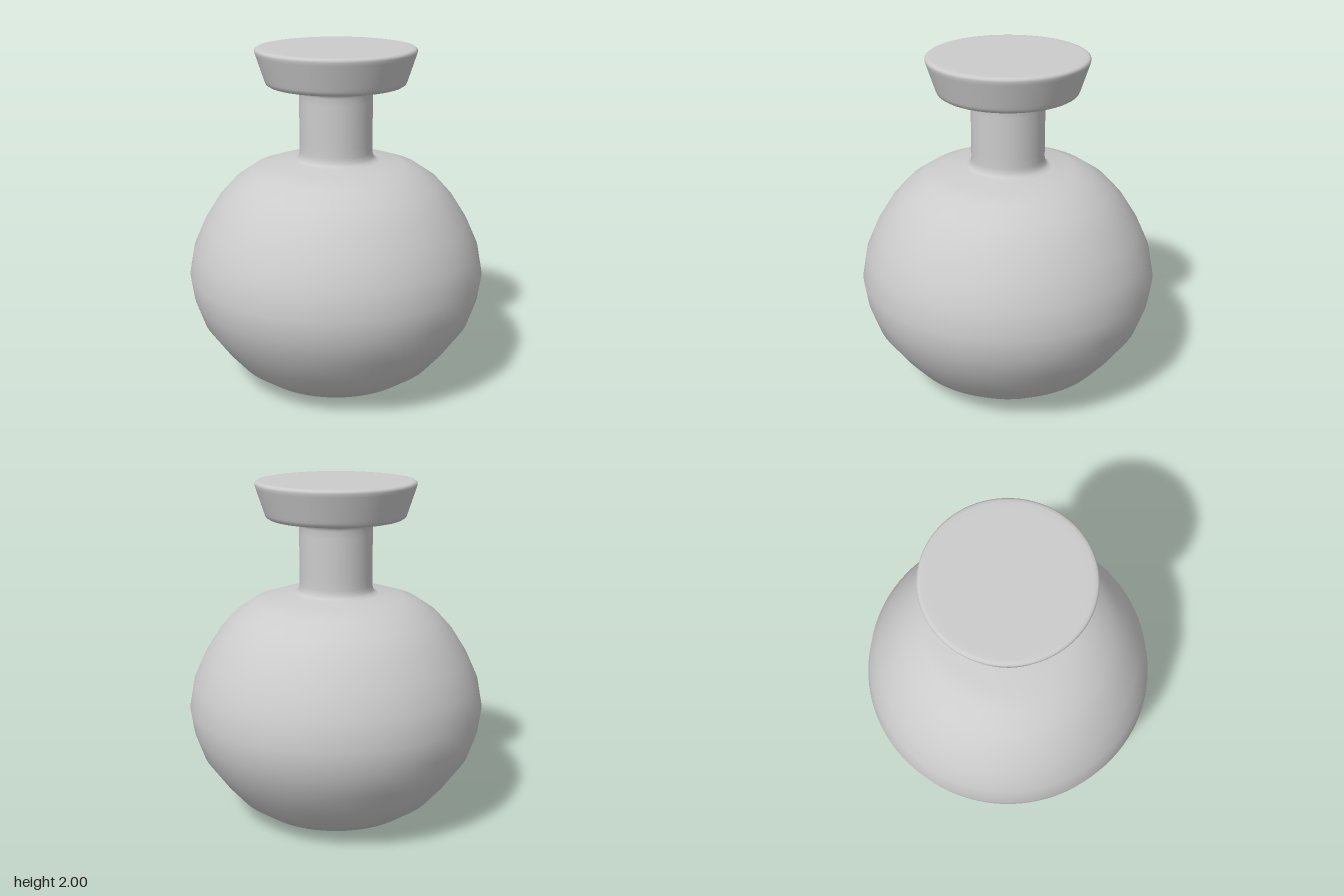
import * as THREE from 'three';

const material = new THREE.MeshStandardMaterial({ color: 0xcccccc });

// Revolve a [radius, height] profile, listed bottom to top, around the y axis
function turned(name, profile) {
  const points = profile.map(([r, y]) => new THREE.Vector2(r, y));
  const mesh = new THREE.Mesh(new THREE.LatheGeometry(points, 96), material);
  mesh.name = name;
  return mesh;
}

export function createModel() {
  const group = new THREE.Group();
  group.name = 'flask';

  // Round belly with a flattened base and shoulder
  group.add(turned('belly', [
    [0, 0], [0.15, 0.002], [0.28, 0.006], [0.385, 0.02], [0.48, 0.05], [0.6, 0.135],
    [0.69, 0.24], [0.80, 0.395], [0.85, 0.54], [0.87, 0.68], [0.84, 0.84],
    [0.775, 0.985], [0.69, 1.12], [0.6, 1.22], [0.49, 1.295], [0.385, 1.33],
    [0.25, 1.345], [0.227, 1.357], [0.216, 1.375], [0.212, 1.4], [0.212, 1.45],
  ]));

  // Straight neck
  group.add(turned('neck', [[0.212, 1.45], [0.212, 1.7]]));

  // Flared, closed stopper with softened edges
  group.add(turned('stopper', [
    [0.212, 1.7], [0.212, 1.74], [0.218, 1.758], [0.232, 1.77], [0.265, 1.778],
    [0.36, 1.784], [0.388, 1.788], [0.402, 1.797], [0.41, 1.815],
    [0.416, 1.835], [0.457, 1.96], [0.462, 1.978], [0.461, 1.99], [0.452, 1.997],
    [0.435, 2], [0.4, 2], [0, 2],
  ]));

  return group;
}
